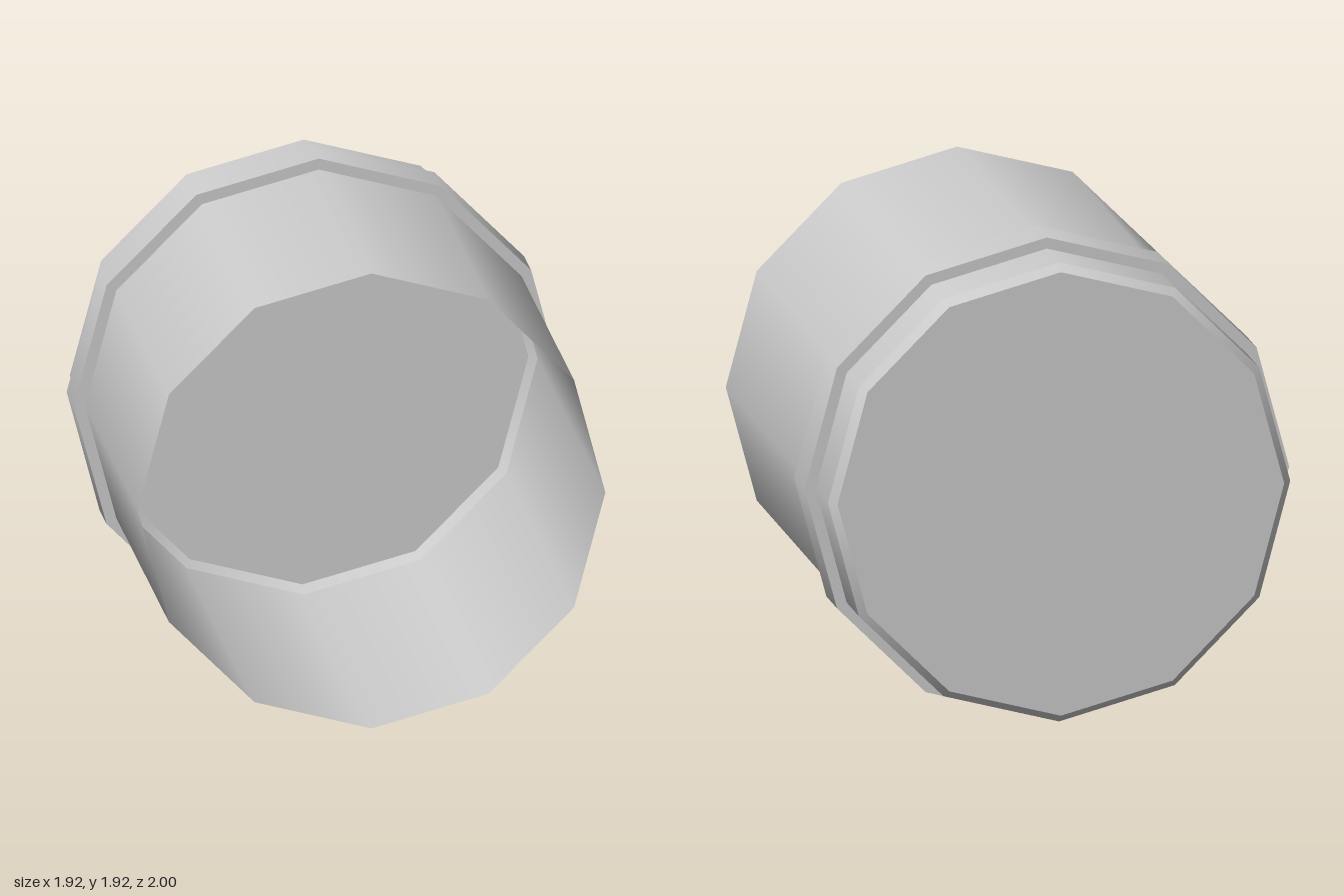
import * as THREE from 'three';

const SIDES = 12;
const CENTRE_Y = 0.96;
const BODY_R = 0.914;
const COLLAR_R = 0.958;
const CAP_R = 0.883;

export function createModel() {
  const model = new THREE.Group();
  model.name = 'canister';
  const grey = new THREE.MeshStandardMaterial({ color: 0xcccccc, side: THREE.DoubleSide });
  grey.name = 'grey';

  const add = (name, geometry) => {
    const mesh = new THREE.Mesh(geometry, grey);
    mesh.name = name;
    mesh.position.y = CENTRE_Y;
    model.add(mesh);
  };

  // Open tube along z, from the front radius to the back radius
  const tube = (frontR, backR, frontZ, backZ) =>
    new THREE.CylinderGeometry(backR, frontR, frontZ - backZ, SIDES, 1, true)
      .rotateX(-Math.PI / 2)
      .translate(0, 0, (frontZ + backZ) / 2);

  // Thin-walled shell, open at the front
  add('body', tube(BODY_R, BODY_R, 1, -0.965));
  add('bevel', tube(BODY_R, CAP_R, -0.965, -1));
  add('backCap', new THREE.CircleGeometry(CAP_R, SIDES).rotateY(Math.PI).translate(0, 0, -1));

  // Raised collar near the back
  add('collar', tube(COLLAR_R, COLLAR_R, -0.525, -0.73));
  const lip = () => new THREE.RingGeometry(BODY_R, COLLAR_R, SIDES);
  add('collarFrontLip', lip().translate(0, 0, -0.525));
  add('collarBackLip', lip().rotateY(Math.PI).translate(0, 0, -0.73));

  return model;
}
